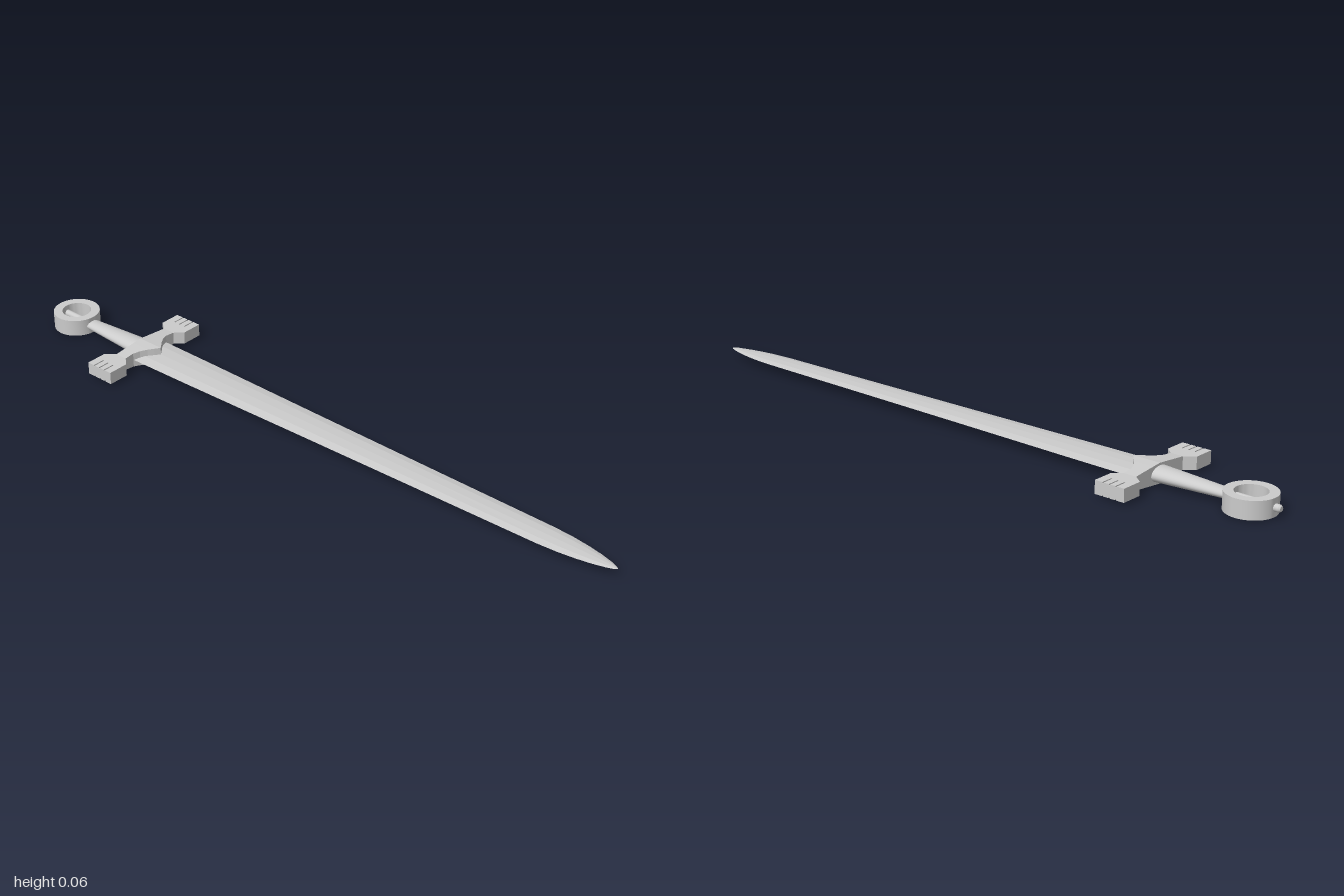
import * as THREE from 'three';
import { toCreasedNormals } from 'three/addons/utils/BufferGeometryUtils.js';

const MID = 0.028; // height of the sword's centre plane
const steel = new THREE.MeshStandardMaterial({ color: 0xcccccc });
const facetedSteel = new THREE.MeshStandardMaterial({ color: 0xcccccc, flatShading: true });

// Skin a series of equal-sized rings, each counter-clockwise about the direction of travel
function loft(rings) {
  const n = rings[0].length, index = [];
  for (let i = 0; i < rings.length - 1; i++) {
    for (let j = 0; j < n; j++) {
      const a = i * n + j, b = i * n + (j + 1) % n;
      index.push(a, b, b + n, a, b + n, a + n);
    }
  }
  const last = (rings.length - 1) * n;
  for (let j = 1; j < n - 1; j++) {
    index.push(0, j + 1, j, last, last + j, last + j + 1);
  }
  const g = new THREE.BufferGeometry();
  g.setAttribute('position', new THREE.Float32BufferAttribute(rings.flat(2), 3));
  g.setIndex(index);
  const flat = g.toNonIndexed();
  flat.computeVertexNormals();
  return flat;
}

export function createModel() {
  const sword = new THREE.Group();
  sword.name = 'sword';
  const add = (name, geometry, material, x = 0, y = MID, z = 0) => {
    const mesh = new THREE.Mesh(geometry, material);
    mesh.name = name;
    mesh.position.set(x, y, z);
    sword.add(mesh);
    return mesh;
  };

  // Blade: ridged, tapering, with a rounded point; [z, half width, half thickness]
  const bladeStations = [
    [-0.62, 0.067, 0.006], [-0.4, 0.064, 0.006], [0, 0.056, 0.006], [0.4, 0.049, 0.0055],
    [0.78, 0.043, 0.005], [0.84, 0.039, 0.005], [0.89, 0.032, 0.0045],
    [0.93, 0.024, 0.004], [0.965, 0.014, 0.003], [0.982, 0.007, 0.002], [0.99, 0.001, 0.0005],
  ];
  add('blade', loft(bladeStations.map(([z, w, t]) => [
    [w, 0, z], [w * 0.55, t * 0.8, z], [0, t, z], [-w * 0.55, t * 0.8, z],
    [-w, 0, z], [-w * 0.55, -t * 0.8, z], [0, -t, z], [w * 0.55, -t * 0.8, z],
  ])), facetedSteel);

  // Crossguard: [x, back z, front z, half height], mirrored about x = 0
  const half = [
    [0, -0.643, -0.56, 0.028], [0.015, -0.643, -0.572, 0.0266], [0.03, -0.643, -0.585, 0.0252],
    [0.048, -0.643, -0.597, 0.0234], [0.068, -0.643, -0.605, 0.0215],
    [0.098, -0.643, -0.605, 0.0185], [0.12, -0.671, -0.581, 0.0185], [0.146, -0.671, -0.581, 0.0185],
  ];
  const guardStations = [
    ...half.slice(1).reverse().map(([x, ...rest]) => [-x, ...rest]), ...half,
  ];
  add('crossguard', loft(guardStations.map(([x, back, front, h]) => [
    [x, h, back], [x, h, front], [x, -h, front], [x, -h, back],
  ])), facetedSteel);

  // Guard ends: blocks with three shallow grooves above and below
  const h = 0.0185, w = 0.045, depth = 0.003, gw = 0.002;
  const topEdge = [[-w, h]];
  for (const c of [-0.02, 0, 0.02]) {
    topEdge.push([c - gw, h], [c - gw, h - depth], [c + gw, h - depth], [c + gw, h]);
  }
  topEdge.push([w, h]);
  const outline = [...topEdge, ...topEdge.map(([x, y]) => [-x, -y])];
  const endShape = new THREE.Shape(outline.map(([x, y]) => new THREE.Vector2(x, y)));
  const endBlock = new THREE.ExtrudeGeometry(endShape, { depth: 0.038, bevelEnabled: false });
  endBlock.rotateY(Math.PI / 2);
  add('leftGuardEnd', endBlock, facetedSteel, 0.145, MID, -0.626);
  add('rightGuardEnd', endBlock, facetedSteel, -0.183, MID, -0.626);

  // Grip: oval, widening towards the guard
  const grip = new THREE.CylinderGeometry(0.037, 0.021, 0.235, 32);
  grip.scale(1, 1, 0.6);
  grip.rotateX(Math.PI / 2);
  add('grip', grip, steel, 0, MID, -0.7375);

  // Pommel: flat ring lying in the plane of the blade
  const ringProfile = [
    [0.043, -0.025], [0.069, -0.025], [0.069, 0.025], [0.043, 0.025], [0.043, -0.025],
  ].map(([x, y]) => new THREE.Vector2(x, y));
  const ring = toCreasedNormals(new THREE.LatheGeometry(ringProfile, 48), 0.6);
  add('pommelRing', ring, steel, 0, MID, -0.914);

  // Tang rod crossing the ring, its end showing as a small peg behind
  const rod = new THREE.CylinderGeometry(0.01, 0.01, 0.155, 20);
  rod.rotateX(Math.PI / 2);
  add('tangRod', rod, steel, 0, MID, -0.9175);
  const peg = new THREE.CylinderGeometry(0.01, 0.007, 0.005, 20);
  peg.rotateX(Math.PI / 2);
  add('pegTip', peg, steel, 0, MID, -0.9975);

  return sword;
}
